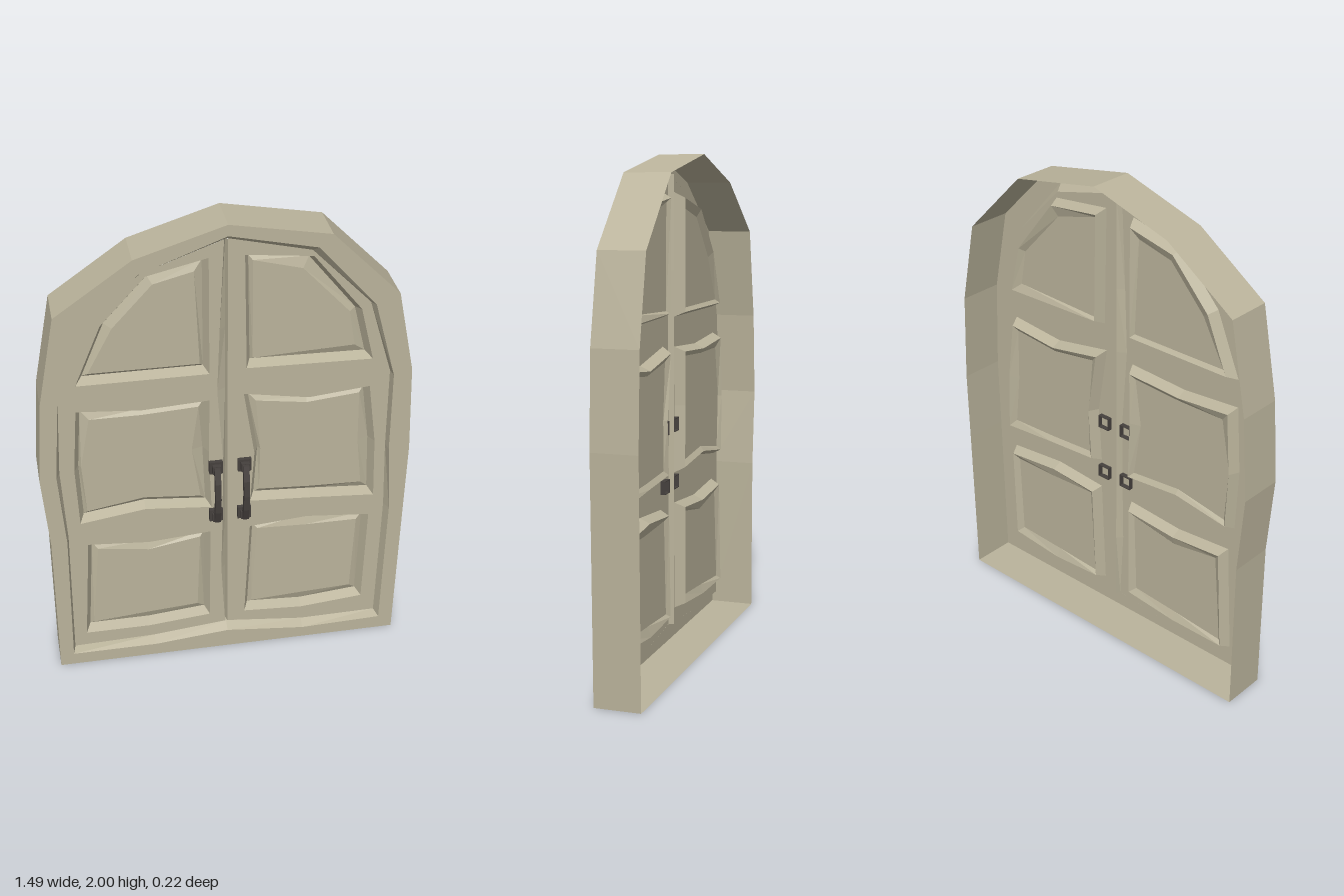
import * as THREE from 'three';

// Depths: open back rim, frame face, leaf sheet, panel groove, raised field, seam
const BACK = -0.11, FACE = 0.075, LEAF = 0.036, GROOVE = -0.006, FIELD = 0.009, SEAM = 0.014;

const toV = pts => pts.map(p => new THREE.Vector2(p[0], p[1]));

// Mitred inward offset of a counter-clockwise outline; d holds one distance per corner
function inset(pts, d) {
  const n = pts.length;
  return pts.map((p, i) => {
    const a = p.clone().sub(pts[(i + n - 1) % n]).normalize();
    const b = pts[(i + 1) % n].clone().sub(p).normalize();
    const m = new THREE.Vector2(-a.y - b.y, a.x + b.x);
    return p.clone().addScaledVector(m, 2 * d[i] / Math.max(m.lengthSq(), 0.8));
  });
}

function fromTriangles(pos) {
  const g = new THREE.BufferGeometry();
  g.setAttribute('position', new THREE.Float32BufferAttribute(pos, 3));
  g.computeVertexNormals();
  return g;
}

// Strip of faces from outline A at depth za to outline B at depth zb
function band(A, za, B, zb) {
  const pos = [];
  A.forEach((p, i) => {
    const j = (i + 1) % A.length;
    pos.push(p.x, p.y, za, A[j].x, A[j].y, za, B[j].x, B[j].y, zb);
    pos.push(p.x, p.y, za, B[j].x, B[j].y, zb, B[i].x, B[i].y, zb);
  });
  return fromTriangles(pos);
}

// Flat sheet with openings
function sheet(outline, holes, z) {
  const s = new THREE.Shape(outline);
  holes.forEach(h => s.holes.push(new THREE.Path(h)));
  return new THREE.ShapeGeometry(s).translate(0, 0, z);
}

export function createModel() {
  const root = new THREE.Group();
  root.name = 'archedDoubleDoor';
  const wood = new THREE.MeshStandardMaterial({ color: 0xbab39b, side: THREE.DoubleSide });
  wood.name = 'paleWood';
  const iron = new THREE.MeshStandardMaterial({ color: 0x45403d });
  iron.name = 'darkIron';
  const add = (parent, geo, mat, name) => {
    const m = new THREE.Mesh(geo, mat);
    m.name = name;
    parent.add(m);
    return m;
  };
  const group = name => {
    const g = new THREE.Group();
    g.name = name;
    root.add(g);
    return g;
  };

  // Frame: a shell, open at the back
  const outer = toV([[-0.72, 0], [0.73, 0], [0.74, 0.65], [0.745, 0.95], [0.73, 1.32], [0.66, 1.66],
    [0.39, 1.93], [0, 2], [-0.35, 1.89], [-0.65, 1.68], [-0.72, 1.31], [-0.745, 0.97], [-0.72, 0.65]]);
  const opening = toV([[0, 0.085], [0.33, 0.05], [0.67, 0.06], [0.68, 0.65], [0.66, 0.95], [0.658, 1.3],
    [0.57, 1.62], [0.34, 1.88], [0, 1.955], [-0.33, 1.83], [-0.56, 1.62], [-0.655, 1.3], [-0.678, 0.97],
    [-0.655, 0.65], [-0.663, 0.055], [-0.31, 0.055]]);
  const inner = inset(opening, [0.022, 0.02, 0.014, 0.014, 0.005, 0.005, 0.013, 0.03, 0.025,
    0.02, 0.006, 0.005, 0.014, 0.008, 0.01, 0.02]);
  const frame = group('frame');
  add(frame, band(outer, BACK, outer, FACE), wood, 'frameRim');
  add(frame, sheet(outer, [opening], FACE), wood, 'frameFace');
  add(frame, band(opening, FACE, inner, LEAF), wood, 'frameBevel');

  // Panels of each leaf: outline and the width of the slope at each corner
  const panels = {
    rightLeaf: [
      [[[-0.58, 1.36], [-0.065, 1.36], [-0.065, 1.855], [-0.3, 1.8], [-0.475, 1.61]],
        [0.015, 0.014, 0.032, 0.035, 0.035]],
      [[[-0.595, 0.71], [-0.33, 0.75], [-0.06, 0.725], [-0.07, 1], [-0.065, 1.24], [-0.33, 1.225],
        [-0.585, 1.245], [-0.605, 0.97]], [0.015, 0.02, 0.02, 0.045, 0.02, 0.02, 0.035, 0.01]],
      [[[-0.6, 0.13], [-0.33, 0.13], [-0.07, 0.155], [-0.065, 0.6], [-0.32, 0.58], [-0.57, 0.6]],
        [0.015, 0.035, 0.03, 0.02, 0.04, 0.025]],
    ],
    leftLeaf: [
      [[[0.08, 1.37], [0.58, 1.36], [0.525, 1.585], [0.33, 1.827], [0.07, 1.855]],
        [0.01, 0.035, 0.025, 0.045, 0.015]],
      [[[0.1, 0.735], [0.35, 0.72], [0.62, 0.7], [0.61, 0.97], [0.575, 1.235], [0.33, 1.21],
        [0.07, 1.255], [0.115, 0.97]], [0.02, 0.02, 0.03, 0.045, 0.02, 0.02, 0.025, 0.01]],
      [[[0.08, 0.15], [0.33, 0.135], [0.595, 0.16], [0.605, 0.6], [0.34, 0.625], [0.1, 0.605]],
        [0.015, 0.04, 0.03, 0.025, 0.045, 0.02]],
    ],
  };

  // Wavy meeting edge of the right leaf, from bottom to top
  const seam = [[-0.004, 0.107], [-0.02, 0.4], [-0.015, 0.65], [-0.012, 0.95], [-0.035, 1.28],
    [-0.025, 1.55], [-0.008, 1.925]];
  const outlines = {
    rightLeaf: [...toV(seam), ...inner.slice(9)],
    leftLeaf: inner.slice(0, 9).map(p => new THREE.Vector2(Math.max(p.x, 0.006), p.y)),
  };
  for (const name of ['rightLeaf', 'leftLeaf']) {
    const leaf = group(name);
    const holes = panels[name].map(([pts]) => toV(pts));
    add(leaf, sheet(outlines[name], holes, LEAF), wood, 'leafBoard');
    holes.forEach((hole, i) => {
      const low = inset(hole, hole.map(() => 0.019));
      const field = inset(low, panels[name][i][1]);
      add(leaf, band(hole, LEAF, low, GROOVE), wood, 'panelEdge');
      add(leaf, band(low, GROOVE, field, FIELD), wood, 'panelSlope');
      add(leaf, sheet(field, [], FIELD), wood, 'panelField');
    });
  }

  // Sloping groove between the leaves
  const groove = [];
  for (let i = 0; i + 1 < seam.length; i++) {
    const section = ([x, y]) => [[x, y, LEAF], [0, y, SEAM], [0.006, y, LEAF]];
    const a = section(seam[i]), b = section(seam[i + 1]);
    for (const k of [0, 1]) groove.push(a[k], a[k + 1], b[k + 1], a[k], b[k + 1], b[k]);
  }
  add(root, fromTriangles(groove.flat()), wood, 'centreGroove');

  // Bowed handles with square plates, whose hollow ends show at the back
  const grip = new THREE.Shape(toV([[0.04, 0.68], [0.085, 0.68], [0.104, 0.74], [0.11, 0.81], [0.104, 0.88],
    [0.085, 0.943], [0.04, 0.943], [0.04, 0.912], [0.076, 0.905], [0.088, 0.81], [0.076, 0.718], [0.04, 0.71]]));
  const gripGeo = new THREE.ExtrudeGeometry(grip, { depth: 0.024, bevelEnabled: false })
    .translate(0, 0, -0.012).rotateY(-Math.PI / 2);
  const square = r => toV([[-r, -r], [r, -r], [r, r], [-r, r]]);
  const socket = new THREE.Shape(square(0.027));
  socket.holes.push(new THREE.Path(square(0.024)));
  const socketGeo = new THREE.ExtrudeGeometry(socket, { depth: LEAF - 0.016, bevelEnabled: false });
  for (const x of [-0.043, 0.073]) {
    const handle = group('handle');
    handle.position.x = x;
    add(handle, gripGeo, iron, 'grip');
    for (const y of [0.693, 0.928]) {
      add(handle, new THREE.BoxGeometry(0.055, 0.055, 0.017), iron, 'plate').position.set(0, y, LEAF + 0.0095);
      add(handle, new THREE.BoxGeometry(0.034, 0.036, 0.02), iron, 'foot').position.set(0, y, LEAF + 0.026);
      add(handle, socketGeo, iron, 'socket').position.set(0, y, 0.016);
    }
  }
  return root;
}
